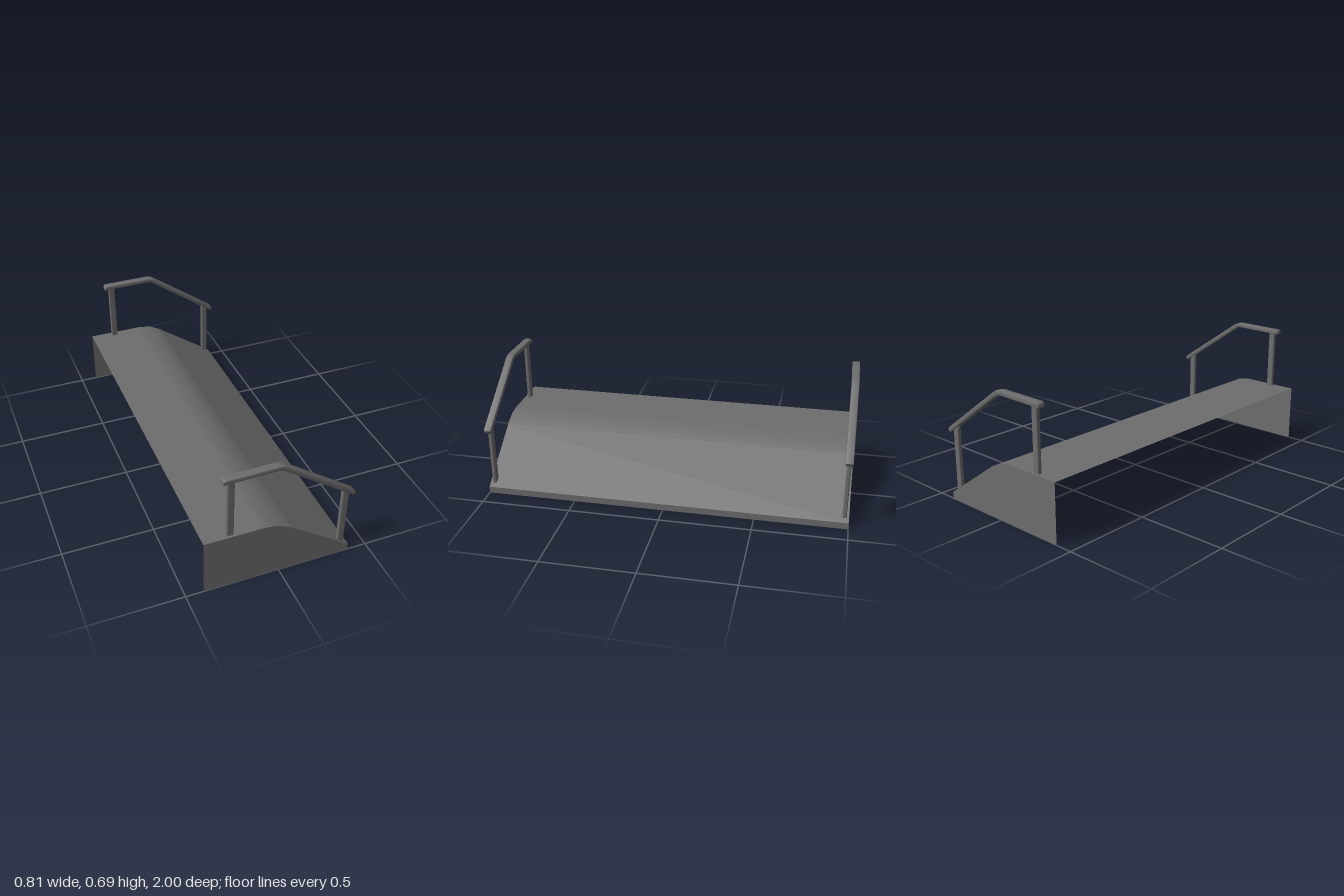
import * as THREE from 'three';
import { toCreasedNormals } from 'three/addons/utils/BufferGeometryUtils.js';
import { RoundedBoxGeometry } from 'three/addons/geometries/RoundedBoxGeometry.js';

const material = new THREE.MeshStandardMaterial({ color: 0x6d6d6d, side: THREE.DoubleSide });

// Deck line from the high open edge to the top of the front lip
const DECK = [[-0.406, 0.322], [-0.1, 0.322], [-0.085, 0.322], [-0.015, 0.311],
  [0.05, 0.278], [0.064, 0.268], [0.396, 0.037]];

// Closed side outline of a railing's handrail
const RAIL = [[-0.308, 0.657], [-0.03, 0.66], [-0.012, 0.657], [0.008, 0.646], [0.395, 0.371],
  [0.4, 0.378], [0.405, 0.39], [0.399, 0.4], [0.018, 0.67], [0, 0.68], [-0.025, 0.685],
  [-0.295, 0.683], [-0.303, 0.68], [-0.308, 0.672]];

const toShape = (points) => new THREE.Shape(points.map(([x, y]) => new THREE.Vector2(x, y)));

function addMesh(parent, name, geometry, x = 0, y = 0, z = 0) {
  const mesh = new THREE.Mesh(geometry, material);
  mesh.name = name;
  mesh.position.set(x, y, z);
  parent.add(mesh);
}

// Sheet that follows a line in x/y and spans the full width in z
function sheet(line) {
  const geometry = new THREE.PlaneGeometry(1, 1, line.length - 1, 1);
  const position = geometry.attributes.position;
  for (let i = 0; i < position.count; i++) {
    const [x, y] = line[i % line.length];
    position.setXYZ(i, x, y, i < line.length ? -1 : 1);
  }
  geometry.computeVertexNormals();
  return geometry;
}

function createRailing() {
  const railing = new THREE.Group();
  // Flat-sided handrail with softened long edges
  const bevel = 0.005, width = 0.042;
  const rail = new THREE.ExtrudeGeometry(toShape(RAIL), {
    depth: width - 2 * bevel, bevelEnabled: true, bevelSize: bevel,
    bevelThickness: bevel, bevelOffset: -bevel, bevelSegments: 2,
  });
  rail.translate(0, 0, bevel - width / 2);
  addMesh(railing, 'handrail', toCreasedNormals(rail, 0.5));

  // Flat posts with rounded corners, reaching just through the deck
  for (const [name, x, bottom, top] of [['upperPost', -0.263, 0.312, 0.67], ['lowerPost', 0.355, 0.05, 0.41]]) {
    const post = new RoundedBoxGeometry(0.038, top - bottom, 0.023, 3, 0.007);
    addMesh(railing, name, post, x, (top + bottom) / 2, 0);
  }
  return railing;
}

export function createModel() {
  const model = new THREE.Group();
  model.name = 'rampWithRailings';

  // Thin shell, open underneath and along the high edge
  addMesh(model, 'deck', sheet(DECK));
  addMesh(model, 'frontLip', sheet([[0.396, 0.037], [0.396, 0]]));

  const outline = [[-0.406, 0], [0.396, 0], ...[...DECK].reverse()];
  for (const side of [1, -1]) {
    const panel = new THREE.ShapeGeometry(toShape(outline));
    // Turn the far panel's faces and normals outward
    if (side < 0) {
      panel.index.array.reverse();
      panel.computeVertexNormals();
    }
    addMesh(model, side > 0 ? 'frontSidePanel' : 'backSidePanel', panel, 0, 0, side);

    const railing = createRailing();
    railing.name = side > 0 ? 'frontRailing' : 'backRailing';
    railing.position.z = side * 0.976;
    model.add(railing);
  }
  return model;
}
